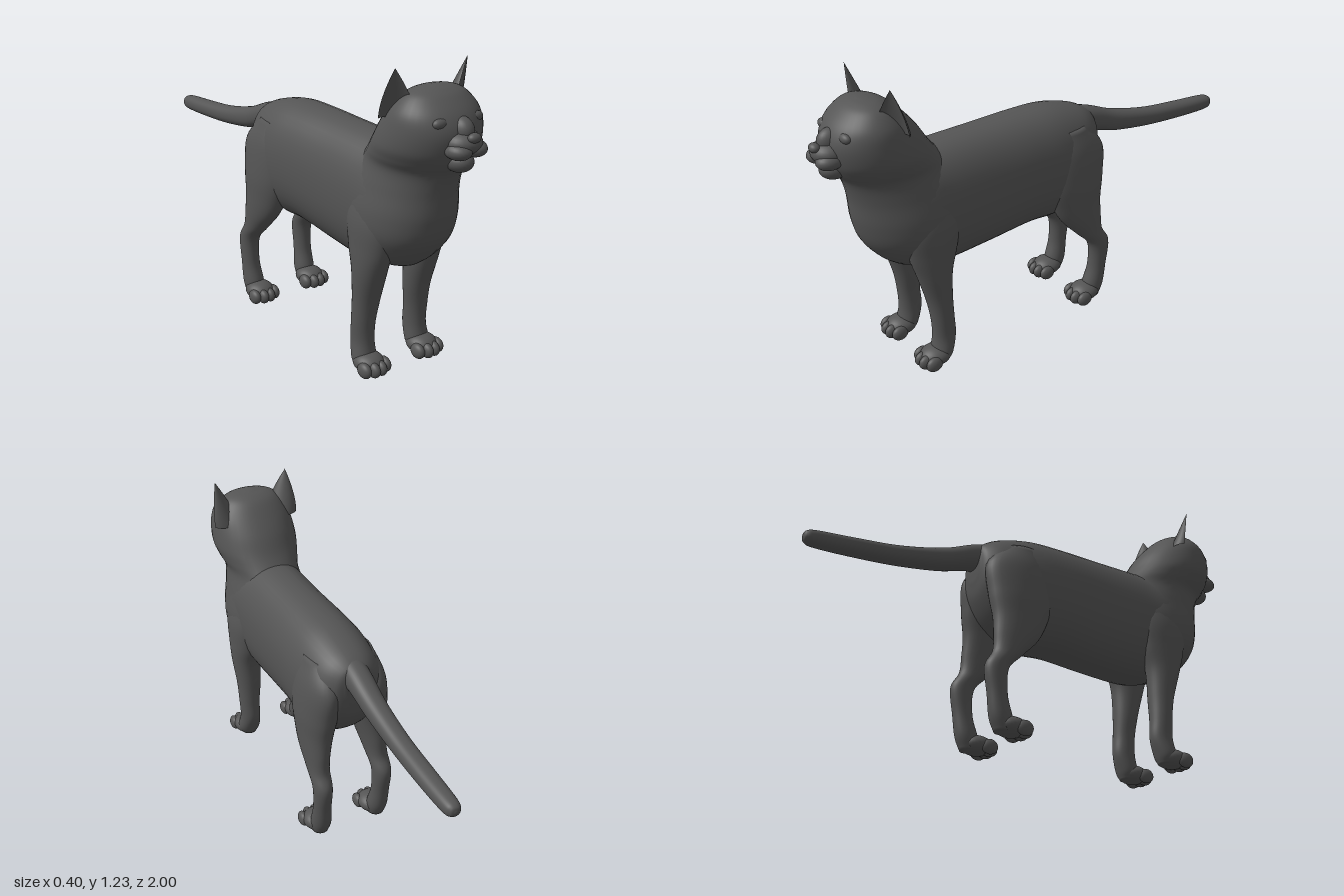
import * as THREE from 'three';

const fur = new THREE.MeshStandardMaterial({ color: 0x555555 });
fur.name = 'charcoal fur';

// Closed smooth skin through rings; f(t, angle) gives a point, both ends taper shut.
function skin(rows, cols, f) {
  const pos = [], index = [];
  for (let i = 0; i <= rows; i++)
    for (let j = 0; j < cols; j++) pos.push(...f(i / rows, (j / cols) * Math.PI * 2));
  for (let i = 0; i < rows; i++)
    for (let j = 0; j < cols; j++) {
      const a = i * cols + j, b = i * cols + ((j + 1) % cols);
      index.push(a, b, b + cols, a, b + cols, a + cols);
    }
  const g = new THREE.BufferGeometry();
  g.setAttribute('position', new THREE.Float32BufferAttribute(pos, 3));
  g.setIndex(index);
  g.computeVertexNormals();
  return g;
}

// Smoothly interpolates rows of numbers, closing both ends with zero-size rings.
function smoothRows(rings) {
  const sizes = (r) => [r[0], r[1], r[2], 0, 0];
  const all = [sizes(rings[0]), ...rings, sizes(rings[rings.length - 1])];
  const n = rings.length - 1;
  const centre = new THREE.CatmullRomCurve3(rings.map((r) => new THREE.Vector3(r[0], r[1], r[2])), false, 'catmullrom', 0.5);
  const radii = new THREE.CatmullRomCurve3(rings.map((r) => new THREE.Vector3(r[3], r[4], 0)), false, 'catmullrom', 0.5);
  const rows = n * 6 + 2;
  return {
    rows,
    at(t) {
      const k = Math.round(t * rows);
      if (k === 0) return all[0];
      if (k === rows) return all[all.length - 1];
      const u = (k - 1) / (n * 6), c = centre.getPoint(u), r = radii.getPoint(u);
      return [c.x, c.y, c.z, Math.max(r.x, 0.001), Math.max(r.y, 0.001)];
    },
  };
}

// Rings stacked upward: [x, y, z, half width, half depth]
function loftY(rings) {
  const s = smoothRows(rings);
  return skin(s.rows, 36, (t, a) => {
    const [x, y, z, rx, rz] = s.at(t);
    return [x + rx * Math.sin(a), y, z + rz * Math.cos(a)];
  });
}

// Rings stacked toward the front: [z, top, bottom, half width]
function loftZ(profile) {
  const s = smoothRows(profile.map(([z, top, low, w]) => [0, (top + low) / 2, z, w, (top - low) / 2]));
  const round = (v) => Math.sign(v) * Math.abs(v) ** 0.9;
  return skin(s.rows, 40, (t, a) => {
    const [x, y, z, rx, ry] = s.at(t);
    return [x + rx * round(Math.cos(a)), y + ry * round(Math.sin(a)), z];
  });
}

function ear(side) {
  const c = Math.cos(0.6), n = Math.sin(0.6);
  return skin(16, 32, (t, a) => {
    const w = 0.068 * (1 - t ** 1.5), d = 0.06 * (1 - t);
    const across = w * Math.cos(a * side), sn = Math.sin(a * side);
    const back = -Math.abs(sn) * d * (sn > 0 ? 1 : 0.5); // hollow front, rounded back
    return [
      side * (0.137 + 0.028 * t + across * c + back * n),
      1.05 + 0.185 * t,
      0.74 + 0.012 * t - across * n + back * c,
    ];
  });
}

export function createModel() {
  const cat = new THREE.Group();
  cat.name = 'cat';
  const add = (name, geometry) => {
    const m = new THREE.Mesh(geometry, fur);
    m.name = name;
    cat.add(m);
    return m;
  };
  const blob = (name, x, y, z, rx, ry, rz) => {
    const g = new THREE.SphereGeometry(1, 28, 18);
    g.scale(rx, ry, rz);
    return add(name, g.translate(x, y, z));
  };

  // Trunk
  add('body', loftZ([
    [-0.27, 0.82, 0.69, 0.05], [-0.25, 0.85, 0.6, 0.1], [-0.18, 0.885, 0.5, 0.15],
    [-0.05, 0.915, 0.43, 0.173], [0.1, 0.92, 0.43, 0.172], [0.3, 0.917, 0.41, 0.167],
    [0.5, 0.912, 0.4, 0.17], [0.62, 0.9, 0.43, 0.178], [0.72, 0.86, 0.48, 0.16], [0.8, 0.78, 0.57, 0.1],
  ]));

  // Chest, neck and skull in one upright sweep: [y, front, back, half width]
  add('chestNeckAndHead', loftY([
    [0.45, 0.7, 0.48, 0.09], [0.5, 0.76, 0.44, 0.14], [0.58, 0.82, 0.4, 0.178], [0.67, 0.847, 0.38, 0.184],
    [0.77, 0.858, 0.4, 0.166], [0.85, 0.878, 0.45, 0.153], [0.9, 0.91, 0.495, 0.17],
    [0.95, 0.932, 0.535, 0.184], [1.02, 0.94, 0.58, 0.18], [1.08, 0.915, 0.63, 0.165],
    [1.13, 0.865, 0.68, 0.125], [1.152, 0.825, 0.72, 0.08], [1.161, 0.79, 0.76, 0.02],
  ].map(([y, front, back, w]) => [0, y, (front + back) / 2, w, (front - back) / 2])));

  add('tail', loftZ([
    [-1, 0.69, 0.68, 0.005], [-0.99, 0.708, 0.662, 0.024], [-0.95, 0.718, 0.653, 0.035],
    [-0.8, 0.73, 0.657, 0.04], [-0.61, 0.75, 0.67, 0.042], [-0.42, 0.793, 0.698, 0.047],
    [-0.28, 0.847, 0.735, 0.054], [-0.15, 0.88, 0.73, 0.06],
  ]));

  // Face
  blob('muzzle', 0, 0.99, 0.92, 0.07, 0.045, 0.07);
  blob('chin', 0, 0.918, 0.905, 0.05, 0.04, 0.06);
  blob('noseBridge', 0, 1.03, 0.91, 0.04, 0.05, 0.055);
  blob('nose', 0, 1.018, 0.977, 0.026, 0.018, 0.02);

  for (const s of [1, -1]) {
    const side = s > 0 ? 'left' : 'right';
    add(side + 'Ear', ear(s));
    blob(side + 'LipPad', s * 0.035, 0.968, 0.937, 0.045, 0.032, 0.055).geometry.computeVertexNormals();
    blob(side + 'Eye', s * 0.08, 1.06, 0.893, 0.032, 0.02, 0.02);

    // Legs, from the ground up
    add(side + 'FrontLeg', loftY([
      [s * 0.133, 0.015, 0.58, 0.035, 0.035], [s * 0.133, 0.05, 0.575, 0.05, 0.045],
      [s * 0.13, 0.12, 0.56, 0.045, 0.049], [s * 0.13, 0.2, 0.563, 0.047, 0.048],
      [s * 0.125, 0.3, 0.572, 0.055, 0.055], [s * 0.126, 0.42, 0.588, 0.064, 0.075],
      [s * 0.125, 0.52, 0.59, 0.067, 0.105], [s * 0.122, 0.63, 0.59, 0.067, 0.12],
      [s * 0.105, 0.75, 0.58, 0.055, 0.09],
    ]));
    add(side + 'HindLeg', loftY([
      [s * 0.135, 0.015, -0.2, 0.035, 0.035], [s * 0.135, 0.07, -0.21, 0.043, 0.047],
      [s * 0.138, 0.16, -0.228, 0.038, 0.041], [s * 0.138, 0.27, -0.232, 0.04, 0.05],
      [s * 0.135, 0.34, -0.183, 0.045, 0.063], [s * 0.13, 0.42, -0.142, 0.056, 0.098],
      [s * 0.122, 0.5, -0.12, 0.067, 0.12], [s * 0.112, 0.6, -0.11, 0.078, 0.145],
      [s * 0.1, 0.73, -0.11, 0.075, 0.15], [s * 0.08, 0.83, -0.09, 0.06, 0.09],
    ]));

    // Paws with four toes each
    for (const [name, z] of [['Front', 0.605], ['Hind', -0.165]]) {
      blob(side + name + 'Paw', s * 0.133, 0.042, z, 0.06, 0.04, 0.065);
      for (let i = 0; i < 4; i++) {
        const outer = i === 0 || i === 3;
        blob(side + name + 'Toe', s * 0.133 + (i - 1.5) * 0.032, 0.032, z + (outer ? 0.035 : 0.05), 0.021, 0.031, 0.036);
      }
    }
  }
  return cat;
}
